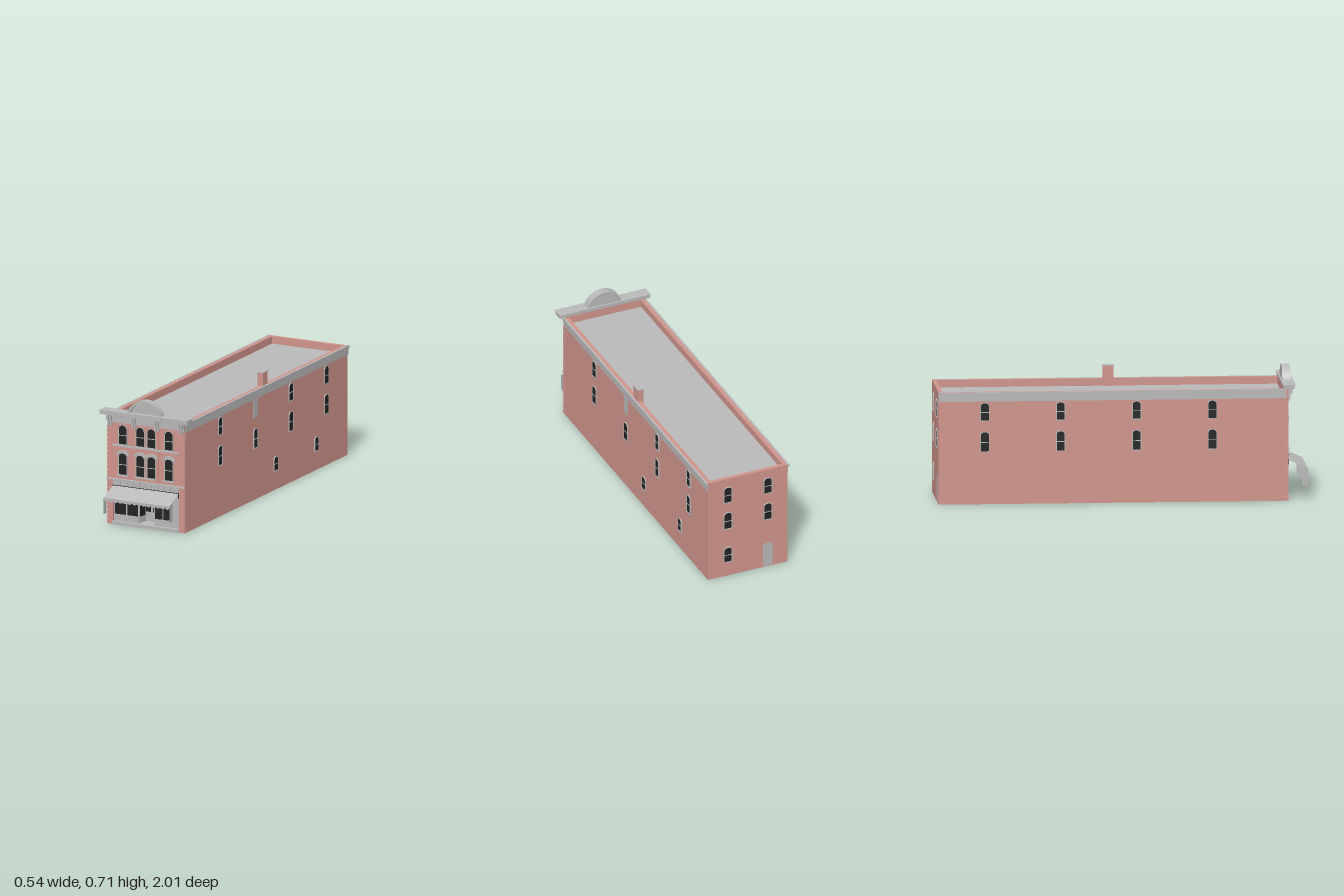
import * as THREE from 'three';

const mat = (name, color) => Object.assign(new THREE.MeshStandardMaterial({ color }), { name });

export function createModel() {
  const brick = mat('brick', 0xd0958c);
  const stone = mat('grey stone', 0xb9b9b9);
  const glass = mat('dark glass', 0x222222);
  const cloth = mat('awning cloth', 0xb9b9b9);
  cloth.side = THREE.DoubleSide;
  const model = new THREE.Group();
  model.name = 'shopBuilding';

  const add = (name, geo, m, parent = model) => {
    const mesh = new THREE.Mesh(geo, m);
    mesh.name = name;
    parent.add(mesh);
    return mesh;
  };
  // Box given by its limits on each axis
  const box = (name, m, x0, x1, y0, y1, z0, z1, parent) => {
    const g = new THREE.BoxGeometry(x1 - x0, y1 - y0, z1 - z0);
    g.translate((x0 + x1) / 2, (y0 + y1) / 2, (z0 + z1) / 2);
    return add(name, g, m, parent);
  };
  // Upright extrusion starting at z0
  const slab = (name, m, shape, z0, depth, parent) => {
    const g = new THREE.ExtrudeGeometry(shape, { depth, bevelEnabled: false, curveSegments: 14 });
    g.translate(0, 0, z0);
    return add(name, g, m, parent);
  };
  // Opening with a curved head; rise 0 gives a rectangle
  const arched = (w, y0, y1, rise, T = THREE.Shape) => {
    const s = new T();
    s.moveTo(-w / 2, y0);
    s.lineTo(w / 2, y0);
    s.lineTo(w / 2, y1 - rise);
    if (rise) s.absellipse(0, y1 - rise, w / 2, rise, 0, Math.PI, false);
    else s.lineTo(-w / 2, y1);
    s.lineTo(-w / 2, y0);
    return s;
  };
  // Curved band above a window
  const hood = (w, yBase, rise, t, ear) => {
    const s = new THREE.Shape();
    s.moveTo(w / 2 + t, yBase - ear);
    s.lineTo(w / 2 + t, yBase);
    s.absellipse(0, yBase, w / 2 + t, rise + t, 0, Math.PI, false);
    s.lineTo(-w / 2 - t, yBase - ear);
    s.lineTo(-w / 2, yBase - ear);
    s.lineTo(-w / 2, yBase);
    s.absellipse(0, yBase, w / 2, rise, Math.PI, 0, true);
    s.lineTo(w / 2, yBase - ear);
    return s;
  };

  // Sash window in a wall plane, facing local +z
  const addWindow = (x, z, turn, w, y0, y1, rise, blind = false) => {
    const g = new THREE.Group();
    g.name = 'window';
    g.position.set(x, 0, z);
    g.rotation.y = turn;
    const f = 0.004;
    slab('windowBacking', stone, arched(w, y0, y1, rise), -0.006, 0.0075, g);
    if (!blind) {
      const ring = arched(w, y0, y1, rise);
      ring.holes.push(arched(w - 2 * f, y0 + f, y1 - f, rise && rise - f / 2, THREE.Path));
      slab('windowFrame', stone, ring, 0.0015, 0.0035, g);
      slab('windowPane', glass, arched(w - 2 * f, y0 + f, y1 - f, rise && rise - f / 2), 0.0015, 0.001, g);
      const mid = y0 + (y1 - y0) * 0.47;
      box('sashBar', stone, -w / 2 + f, w / 2 - f, mid - 0.002, mid + 0.002, 0.002, 0.004, g);
    }
    model.add(g);
    return g;
  };

  // Outer walls, roof and parapets; the underside is open
  const W = 0.235, F = 0.89, H = 0.61, R = 0.57;
  for (const s of [-1, 1]) {
    const range = (a, b) => (s > 0 ? [a, b] : [-b, -a]);
    box('sideWall', brick, ...range(W - 0.004, W), 0, H, -1, F);
    box('sideParapet', brick, ...range(W - 0.022, W - 0.004), R, H, -1, F);
    box('sideFrieze', stone, ...range(W, W + 0.004), 0.56, 0.598, -1, 0.88);
    box('sideCornice', stone, ...range(W, W + 0.011), 0.596, H + 0.001, -1, 0.88);
    box('frontPier', brick, ...range(0.2, W), 0, 0.25, 0.86, F);
    for (let i = 0; i < 22; i++) {
      const y = 0.008 + i * 0.025, d = i % 2 ? 0.018 : 0.03;
      box('quoin', brick, ...range(W, W + 0.003), y, y + 0.014, F - d, F);
    }
  }
  box('backWall', brick, -W, W, 0, H, -1, -0.996);
  box('backParapet', brick, -W, W, R, H, -0.996, -0.978);
  box('frontWall', brick, -W, W, 0.22, 0.615, F - 0.006, F);
  box('frontParapet', brick, -W, W, R, 0.615, 0.865, F - 0.006);
  box('roof', stone, -W + 0.01, W - 0.01, R - 0.005, R, -0.99, 0.87);
  box('chimney', brick, 0.2, 0.232, R, 0.68, -0.078, -0.022);
  box('chimneyCap', stone, 0.197, 0.235, 0.68, 0.685, -0.081, -0.019);

  // Side windows
  for (const z of [0.48, 0.07, -0.34, -0.75]) {
    for (const s of [-1, 1]) {
      const blind = s > 0 && z === 0.07;
      addWindow(s * W, z, s * Math.PI / 2, 0.05, 0.285, 0.397, 0.018);
      addWindow(s * W, z, s * Math.PI / 2, 0.05, 0.453, 0.555, blind ? 0 : 0.018, blind);
    }
  }
  for (const z of [-0.165, -0.635]) addWindow(W, z, Math.PI / 2, 0.048, 0.105, 0.187, 0.016);

  // Back windows and door
  for (const [x, y0, y1] of [[0.118, 0.46, 0.56], [0.118, 0.295, 0.4], [0.118, 0.085, 0.18],
    [-0.118, 0.46, 0.56], [-0.118, 0.295, 0.4]]) addWindow(x, -1, Math.PI, 0.05, y0, y1, 0.018);
  addWindow(-0.118, -1, Math.PI, 0.058, 0.005, 0.145, 0, true).name = 'backDoor';

  // Upper facade windows with hoods and sills
  for (const x of [-0.14, -0.034, 0.034, 0.14]) {
    const low = addWindow(x, F, 0, 0.054, 0.279, 0.404, 0.02);
    slab('segmentHood', stone, hood(0.052, 0.39, 0.016, 0.0125, -0.002), 0, 0.01, low);
    const high = addWindow(x, F, 0, 0.054, 0.448, 0.56, 0.024);
    slab('brickHood', brick, hood(0.055, 0.54, 0.021, 0.007, 0.009), 0, 0.008, high);
  }
  for (const [a, b] of [[-0.175, -0.105], [-0.067, 0.067], [0.105, 0.175]])
    box('windowSill', stone, a, b, 0.274, 0.28, F, F + 0.01);
  box('longSill', stone, -0.202, 0.202, 0.438, 0.447, F, F + 0.01);
  box('centreBay', brick, -0.078, 0.078, 0.258, 0.57, F, F + 0.001);

  // Top cornice with dentils and paired brackets
  box('frieze', stone, -W, W, 0.57, 0.613, F, F + 0.006);
  box('corniceSlab', stone, -0.266, 0.266, 0.613, 0.633, 0.865, 0.922);
  box('corniceCap', stone, -0.269, 0.269, 0.633, 0.637, 0.86, 0.928);
  box('corniceCentre', stone, -0.11, 0.11, 0.613, 0.634, 0.9, 0.926);
  for (let i = 0; i < 52; i++) {
    const x = -0.2 + i * 0.4 / 51;
    box('dentil', stone, x - 0.002, x + 0.002, 0.605, 0.613, F, F + 0.012);
  }
  for (const x of [-0.217, -0.07, 0.07, 0.217]) for (const d of [-0.008, 0.008]) {
    const c = x + d;
    box('bracketFoot', stone, c - 0.004, c + 0.004, 0.55, 0.585, F, F + 0.012);
    box('bracketHead', stone, c - 0.005, c + 0.005, 0.58, 0.613, F, F + 0.024);
  }

  // Arched pediment
  const segment = (r, T) => {
    const s = new T(), a = Math.asin(0.03 / r);
    s.absarc(0, 0.607, r, a, Math.PI - a, false);
    s.closePath();
    return s;
  };
  const rim = segment(0.105, THREE.Shape);
  rim.holes.push(segment(0.091, THREE.Path));
  slab('pedimentRim', stone, rim, 0.868, 0.046);
  slab('pedimentPanel', stone, segment(0.092, THREE.Shape), 0.869, 0.03);

  // Shop cornice, sign band and small brackets
  box('shopCorniceLower', stone, -W, W, 0.249, 0.253, F, F + 0.008);
  box('shopCorniceUpper', stone, -W - 0.002, W + 0.002, 0.254, 0.258, F, F + 0.014);
  box('corniceShadowGap', glass, -W, W, 0.253, 0.254, F, F + 0.007);
  box('signBand', stone, -0.2, 0.2, 0.215, 0.249, F - 0.01, F + 0.004);
  for (let i = 0; i < 9; i++) {
    const x = -0.152 + i * 0.038 * 304 / 304;
    box('shopBracket', stone, x - 0.002, x + 0.002, 0.228, 0.249, F, F + 0.01);
  }

  // Shop front: plinth, bulkheads, panes and side door
  const Z = 0.875;
  box('plinth', stone, -0.202, 0.202, 0, 0.019, 0.87, 0.9);
  box('leftBulkhead', stone, -0.2, -0.05, 0.019, 0.055, Z - 0.01, Z + 0.005);
  box('rightBulkhead', stone, 0.045, 0.145, 0.019, 0.055, Z - 0.01, Z + 0.005);
  box('sideDoor', stone, 0.145, 0.2, 0.019, 0.22, Z - 0.01, Z + 0.005);
  box('shopHeader', stone, -0.2, 0.2, 0.165, 0.22, Z - 0.01, Z + 0.005);
  for (const [a, b] of [[-0.196, -0.126], [-0.122, -0.053], [0.048, 0.094], [0.098, 0.143]])
    box('shopPane', glass, a, b, 0.055, 0.165, Z - 0.004, Z);
  for (const [a, b] of [[-0.2, -0.196], [-0.126, -0.122], [-0.053, -0.049], [0.044, 0.048], [0.094, 0.098], [0.143, 0.146]])
    box('shopMullion', stone, a, b, 0.05, 0.17, Z - 0.008, Z + 0.005);

  // Recessed entrance with double doors
  const D = 0.815;
  box('entranceFloor', stone, -0.05, 0.045, 0.015, 0.019, D, 0.88);
  box('entranceCeiling', stone, -0.05, 0.045, 0.165, 0.17, D, 0.88);
  box('doubleDoor', stone, -0.05, 0.045, 0.019, 0.17, D - 0.006, D);
  for (const [a, b] of [[-0.038, -0.01], [0.004, 0.032]])
    box('doorPane', glass, a, b, 0.073, 0.155, D, D + 0.003);
  box('doorJoint', glass, -0.0035, -0.0025, 0.019, 0.165, D, D + 0.001);
  for (const s of [-1, 1]) {
    const side = new THREE.Group();
    side.name = 'entranceSide';
    side.position.set(-0.0025 + s * 0.0435, 0, (D + Z) / 2);
    side.rotation.y = s * 0.13;
    box('entranceSideWall', stone, -0.002, 0.002, 0.019, 0.17, -0.031, 0.031, side);
    box('entranceSidePane', glass, -0.003, 0.003, 0.055, 0.155, -0.025, 0.025, side);
    model.add(side);
  }

  // Display room behind the shop front
  box('displayFloorLeft', stone, -0.2, -0.05, 0.05, 0.055, 0.73, Z - 0.01);
  box('displayFloorRight', stone, 0.045, 0.2, 0.05, 0.055, 0.73, Z - 0.01);
  box('displayFloorRear', stone, -0.05, 0.045, 0.05, 0.055, 0.73, D - 0.006);
  box('displayBackWall', stone, -0.2, 0.2, 0.055, 0.22, 0.73, 0.735);
  for (const s of [-1, 1]) box('displaySideWall', stone, s * 0.2 - 0.002, s * 0.2 + 0.002, 0.055, 0.22, 0.73, Z);

  // Awning: sloped sheet, scalloped valance, end flaps and rail
  const sheet = new THREE.PlaneGeometry(0.4, Math.hypot(0.105, 0.047));
  sheet.rotateX(-Math.atan2(0.105, 0.047));
  sheet.translate(0, 0.1935, 0.9465);
  add('awningSheet', sheet, cloth);
  const valance = new THREE.Shape();
  const n = 14, step = 0.4 / n;
  valance.moveTo(0.2, 0.17);
  valance.lineTo(-0.2, 0.17);
  valance.lineTo(-0.2, 0.158);
  for (let i = 0; i < n; i++) {
    const x = -0.2 + i * step;
    valance.quadraticCurveTo(x + step / 2, 0.143, x + step, 0.158);
  }
  add('awningValance', new THREE.ShapeGeometry(valance, 6), cloth).position.z = 0.999;
  const flap = new THREE.Shape([[-1, 0.17], [-1, 0.08], [-0.966, 0.08], [-0.966, 0.184]]
    .map(([u, v]) => new THREE.Vector2(u, v)));
  for (const s of [-1, 1]) {
    const mesh = add('awningEndFlap', new THREE.ShapeGeometry(flap), cloth);
    mesh.rotation.y = Math.PI / 2;
    mesh.position.x = s * 0.2;
    box('awningRailEnd', glass, s * 0.2 - 0.0015, s * 0.2 + 0.0015, 0.192, 0.22, F, F + 0.006);
  }
  box('awningRail', glass, -0.2, 0.2, 0.217, 0.22, F, F + 0.006);
  return model;
}
